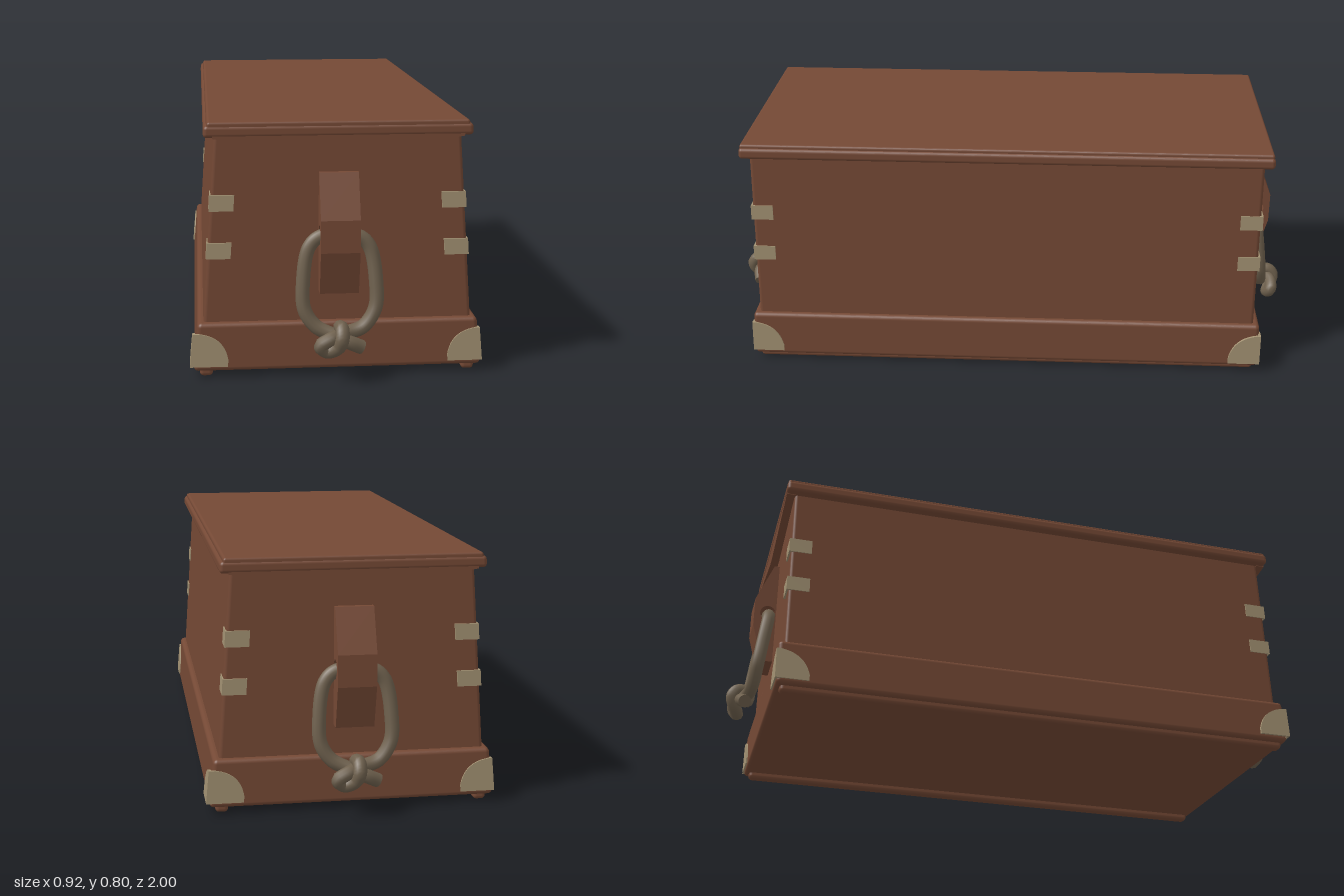
import * as THREE from 'three';
import { RoundedBoxGeometry } from 'three/addons/geometries/RoundedBoxGeometry.js';

const wood = new THREE.MeshStandardMaterial({ color: 0x754935 });
wood.name = 'wood';
const brass = new THREE.MeshStandardMaterial({ color: 0xa39273 });
brass.name = 'dullBrass';
const rope = new THREE.MeshStandardMaterial({ color: 0x6f614e });
rope.name = 'rope';

function add(parent, name, geometry, material) {
  const mesh = new THREE.Mesh(geometry, material);
  mesh.name = name;
  parent.add(mesh);
  return mesh;
}

// Rounded box from y0 to y1 whose half width goes from x0 to x1
function taperedBox(x0, x1, y0, y1, halfDepth, r) {
  const h = y1 - y0;
  const g = new RoundedBoxGeometry(2 * x0, h, 2 * halfDepth, 3, r);
  g.translate(0, (y0 + y1) / 2, 0);
  const p = g.attributes.position;
  for (let i = 0; i < p.count; i++) {
    const t = (p.getY(i) - y0) / h;
    p.setX(i, p.getX(i) * (1 + t * (x1 / x0 - 1)));
  }
  return g;
}

// Lean a plate inward by the slope of the wall it sits on
function lean(g, slope, side, y0) {
  const p = g.attributes.position;
  for (let i = 0; i < p.count; i++) {
    p.setX(i, p.getX(i) - side * slope * (p.getY(i) - y0));
  }
  return g;
}

function polygon(points) {
  return new THREE.Shape(points.map(([x, y]) => new THREE.Vector2(x, y)));
}

function extrude(shape, depth) {
  return new THREE.ExtrudeGeometry(shape, { depth, bevelEnabled: false, curveSegments: 12 });
}

// L-shaped strap around an upright corner
function strap(side, y) {
  const x = 0.392, z = 0.866, t = 0.006, len = 0.075;
  const pts = [[x, z], [x - len, z], [x - len, z - t], [x - t, z - t], [x - t, z - len], [x, z - len]];
  const g = extrude(polygon(pts.map(([a, b]) => [side * a, -b])), 0.05);
  g.rotateX(-Math.PI / 2);
  g.translate(0, y, 0);
  return lean(g, 0.069, side, 0.55);
}

// Quarter-round plates on both faces of a plinth corner
function cornerPlates(parent, side) {
  const shape = new THREE.Shape();
  shape.moveTo(0, 0);
  shape.lineTo(-0.108, 0);
  shape.lineTo(-0.108, 0.02);
  shape.bezierCurveTo(-0.095, 0.075, -0.06, 0.098, -0.012, 0.105);
  shape.lineTo(0, 0.105);
  for (const face of ['front', 'side']) {
    const g = extrude(shape, 0.008);
    if (face === 'front') {
      if (side < 0) {
        g.rotateY(Math.PI);
        g.translate(0, 0, 0.008);
      }
      g.translate(side * 0.45, 0.036, 0.877);
    } else {
      g.rotateY(side > 0 ? -Math.PI / 2 : Math.PI / 2);
      // Rotate the outline so its square edge lies on the corner
      if (side > 0) {
        g.scale(1, 1, 1);
        g.translate(0.45, 0.036, 0.885);
      } else {
        g.rotateY(Math.PI);
        g.translate(-0.45, 0.036, 0.885);
      }
    }
    lean(g, 0.09, side, 0.036);
    add(parent, face + 'CornerPlate', g, brass);
  }
}

// Everything on one short end of the chest
function buildEnd(name) {
  const end = new THREE.Group();
  end.name = name;

  // Pointed apron under the lid
  const apron = extrude(polygon([[-0.38, 0.755], [-0.38, 0.745], [-0.02, 0.685], [0.02, 0.685], [0.38, 0.745], [0.38, 0.755]]), 0.03);
  apron.translate(0, 0, 0.857);
  add(end, 'lidApron', apron, wood);

  // Handle cleat with a hole for the rope
  const cleatShape = polygon([[0.85, 0.265], [0.898, 0.265], [0.935, 0.4], [0.935, 0.5], [0.878, 0.637], [0.85, 0.637]]);
  const hole = new THREE.Path();
  hole.absarc(0.888, 0.45, 0.027, 0, Math.PI * 2, true);
  cleatShape.holes.push(hole);
  const cleat = extrude(cleatShape, 0.12);
  cleat.rotateY(-Math.PI / 2);
  cleat.translate(0.06, 0, 0);
  add(end, 'handleCleat', cleat, wood);

  // Rope loop tied in a knot at the bottom
  const path = [
    [0.066, 0.105, 0.94], [0.02, 0.128, 0.95], [-0.025, 0.145, 0.93], [-0.075, 0.17, 0.92],
    [-0.108, 0.22, 0.913], [-0.112, 0.3, 0.903], [-0.092, 0.41, 0.888], [-0.055, 0.443, 0.885],
    [0.055, 0.443, 0.885], [0.092, 0.41, 0.888], [0.112, 0.3, 0.903], [0.108, 0.22, 0.913],
    [0.07, 0.165, 0.92], [0.02, 0.15, 0.93], [-0.03, 0.142, 0.965], [-0.063, 0.12, 0.965],
    [-0.042, 0.1, 0.955], [-0.01, 0.115, 0.968], [0.001, 0.145, 0.978], [0.002, 0.17, 0.96],
    [0.0, 0.165, 0.92],
  ].map((p) => new THREE.Vector3(...p));
  const curve = new THREE.CatmullRomCurve3(path);
  add(end, 'ropeHandle', new THREE.TubeGeometry(curve, 160, 0.022, 10), rope);
  for (const t of [0, 1]) {
    const cap = new THREE.CircleGeometry(0.022, 10);
    const dir = curve.getTangentAt(t).multiplyScalar(t ? 1 : -1);
    const mesh = add(end, 'ropeEnd', cap, rope);
    mesh.position.copy(curve.getPointAt(t));
    mesh.quaternion.setFromUnitVectors(new THREE.Vector3(0, 0, 1), dir);
  }

  // Metal fittings
  for (const side of [-1, 1]) {
    for (const y of [0.372, 0.52]) add(end, 'cornerStrap', strap(side, y), brass);
    cornerPlates(end, side);
  }
  return end;
}

export function createModel() {
  const chest = new THREE.Group();
  chest.name = 'chest';

  add(chest, 'body', taperedBox(0.42, 0.374, 0.1, 0.76, 0.86, 0.012), wood);
  add(chest, 'plinth', taperedBox(0.447, 0.433, 0.02, 0.173, 0.88, 0.014), wood);
  add(chest, 'lidMoulding', taperedBox(0.408, 0.406, 0.747, 0.784, 0.889, 0.012), wood);
  add(chest, 'lidBoard', taperedBox(0.402, 0.395, 0.76, 0.795, 0.886, 0.008), wood);

  // Runners under the long sides
  for (const side of [-1, 1]) {
    const runner = new RoundedBoxGeometry(0.04, 0.035, 1.73, 3, 0.012);
    runner.translate(side * 0.408, 0.0175, 0);
    add(chest, 'runner', runner, wood);
  }

  // Both ends are alike, turned half way round
  chest.add(buildEnd('frontEnd'));
  const back = buildEnd('backEnd');
  back.rotation.y = Math.PI;
  chest.add(back);
  return chest;
}
